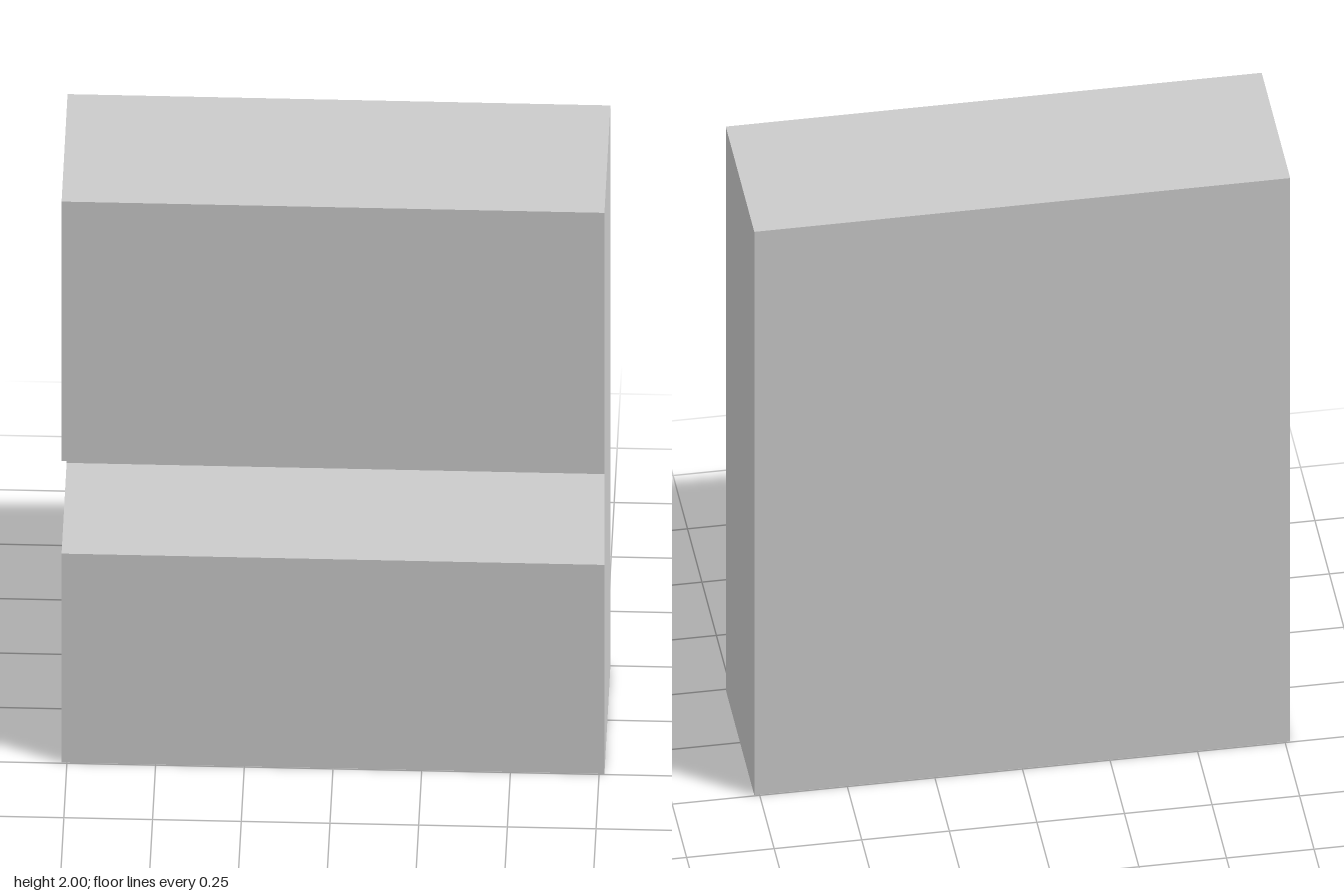
import * as THREE from 'three';

const W = 1.53, H = 2, D = 0.494;            // overall size
const SLOT_LOW = 0.745, SLOT_HIGH = 1.075;   // slot heights
const SLOT_BACK = -0.17;                     // z of the slot's rear wall

export function createModel() {
  const group = new THREE.Group();
  const front = D / 2;

  // Slotted block: side profile in (z, y), extruded along x
  const profile = [
    [-front, 0], [front, 0], [front, SLOT_LOW], [SLOT_BACK, SLOT_LOW],
    [SLOT_BACK, SLOT_HIGH], [front, SLOT_HIGH], [front, H], [-front, H],
  ];
  const shape = new THREE.Shape(profile.map(([z, y]) => new THREE.Vector2(-z, y)));
  const blockGeo = new THREE.ExtrudeGeometry(shape, { depth: W, bevelEnabled: false });
  blockGeo.rotateY(Math.PI / 2).translate(-W / 2, 0, 0);
  const block = new THREE.Mesh(blockGeo, new THREE.MeshStandardMaterial({ color: 0xcccccc }));
  block.name = 'slottedBlock';
  group.add(block);

  // Thin panel closing the slot at its left end, flush with the side
  const panelGeo = new THREE.PlaneGeometry(front - SLOT_BACK, SLOT_HIGH - SLOT_LOW);
  panelGeo.rotateY(Math.PI / 2);
  const panel = new THREE.Mesh(panelGeo, new THREE.MeshStandardMaterial({
    color: 0xcccccc, side: THREE.DoubleSide,
  }));
  panel.position.set(W / 2, (SLOT_LOW + SLOT_HIGH) / 2, (front + SLOT_BACK) / 2);
  panel.name = 'slotEndPanel';
  group.add(panel);

  return group;
}
